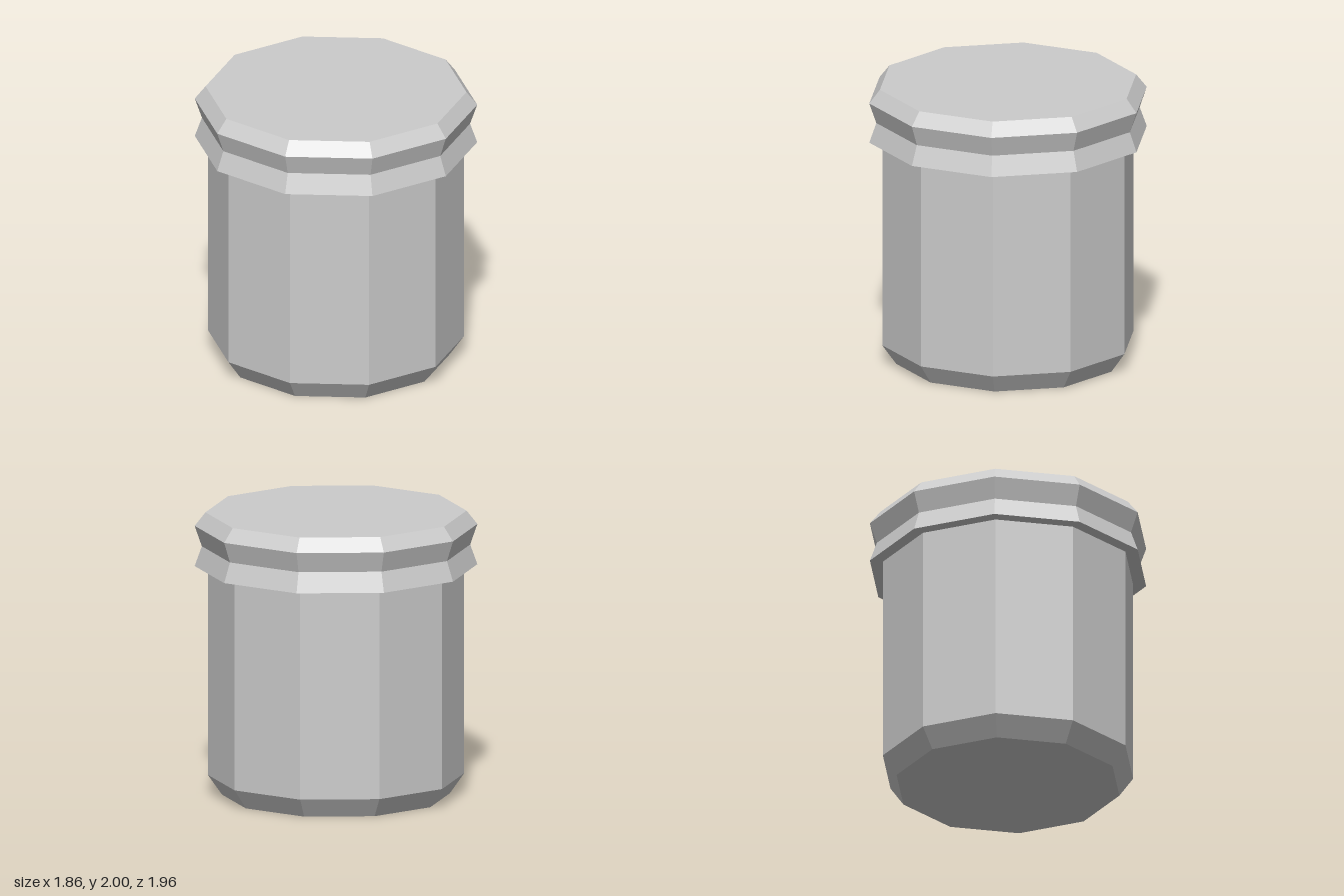
import * as THREE from 'three';

const SIDES = 10;

// Faceted ten-sided solid from a [radius, height] profile, listed bottom to top
function turned(name, profile, material) {
  const points = profile.map(([r, y]) => new THREE.Vector2(r, y));
  const mesh = new THREE.Mesh(new THREE.LatheGeometry(points, SIDES), material);
  mesh.name = name;
  return mesh;
}

export function createModel() {
  const group = new THREE.Group();
  group.name = 'jar';
  const material = new THREE.MeshStandardMaterial({ color: 0xcccccc, flatShading: true });

  // Straight body with a chamfered foot
  group.add(turned('body', [
    [0, 0], [0.79, 0], [0.888, 0.14], [0.888, 1.62],
  ], material));

  // Overhanging lid with a pinched waist and bevelled top
  group.add(turned('lid', [
    [0.888, 1.62], [0.98, 1.62], [0.93, 1.76], [0.98, 1.905], [0.905, 2], [0, 2],
  ], material));

  return group;
}
